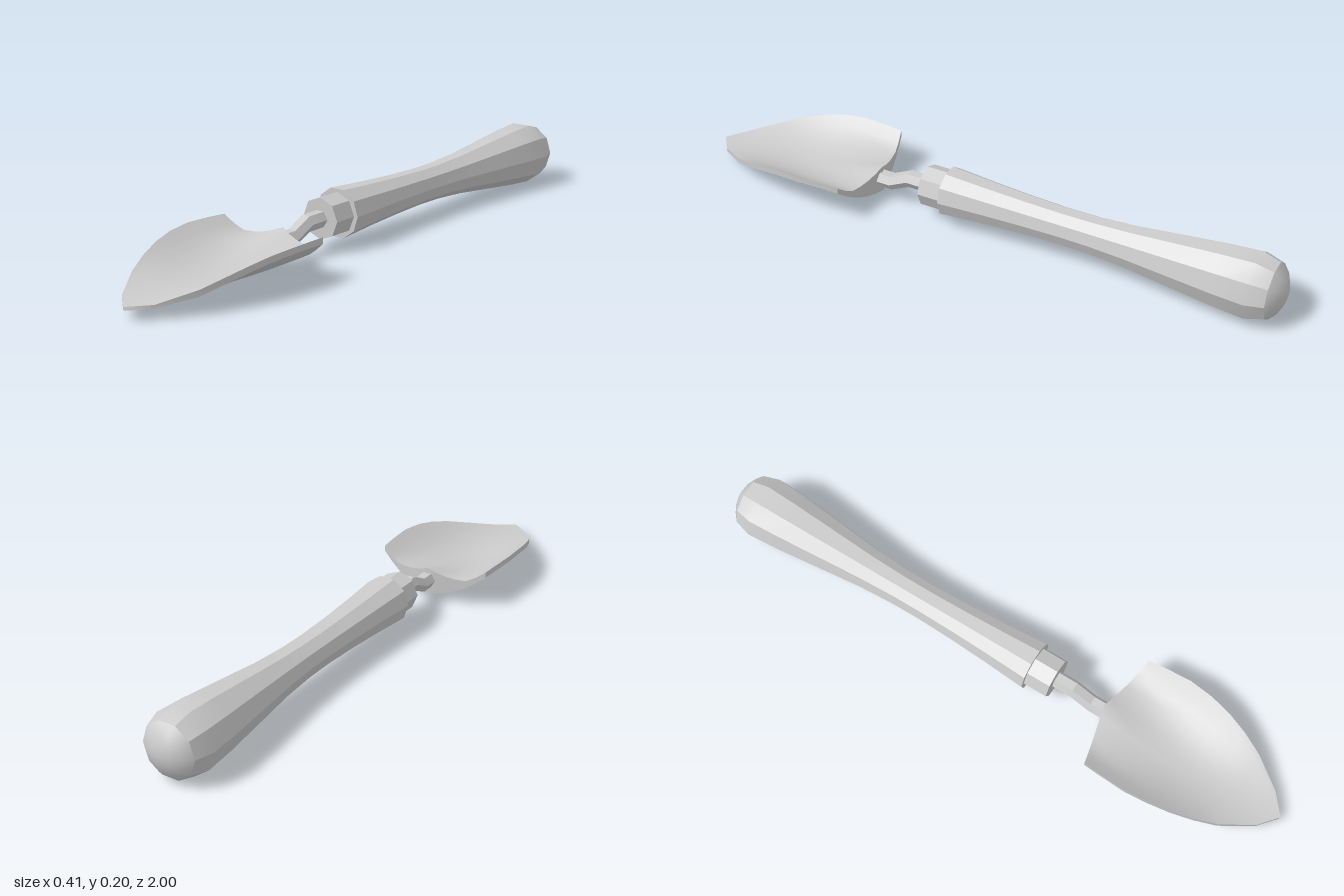
import * as THREE from 'three';
import { toCreasedNormals } from 'three/addons/utils/BufferGeometryUtils.js';

const AXIS_Y = 0.103;
const material = new THREE.MeshStandardMaterial({ color: 0xcccccc });

function part(name, geometry, crease) {
  const mesh = new THREE.Mesh(toCreasedNormals(geometry, crease), material);
  mesh.name = name;
  return mesh;
}

// Joins cross-sections running toward +z (upper points left to right, then back along the underside) and caps both ends.
function loft(rings) {
  const n = rings[0].length;
  const last = (rings.length - 1) * n;
  const index = [];
  for (let r = 0; r < rings.length - 1; r++) {
    for (let i = 0; i < n; i++) {
      const a = r * n + i, c = r * n + (i + 1) % n;
      index.push(a, a + n, c, a + n, c + n, c);
    }
  }
  for (let i = 0; i < n / 2 - 1; i++) {
    const t = i, t2 = i + 1, b = n - 1 - i, b2 = n - 2 - i;
    index.push(t, t2, b2, t, b2, b);
    index.push(last + t, last + b2, last + t2, last + t, last + b, last + b2);
  }
  const geometry = new THREE.BufferGeometry();
  geometry.setAttribute('position', new THREE.Float32BufferAttribute(rings.flat(2), 3));
  geometry.setIndex(index);
  return geometry;
}

// Turned shape along z from [radius, z] pairs, in order of rising z
function turned(profile, sides, phi) {
  const points = profile.map(([r, z]) => new THREE.Vector2(r, z));
  return new THREE.LatheGeometry(points, sides, phi, Math.PI * 2)
    .rotateX(Math.PI / 2).translate(0, AXIS_Y, 0);
}

// Scoop blade: [z, half width, edge top, centre top, centre bottom, hump height]
function bladeGeometry() {
  const stations = [
    [0.415, 0.195, 0.131, 0.05, 0.025, 0.065],
    [0.48, 0.2, 0.134, 0.049, 0.025, 0.038],
    [0.56, 0.204, 0.135, 0.047, 0.025, 0.014],
    [0.64, 0.196, 0.129, 0.047, 0.027, 0.003],
    [0.71, 0.182, 0.116, 0.048, 0.031, 0],
    [0.78, 0.16, 0.097, 0.049, 0.035, 0],
    [0.85, 0.13, 0.074, 0.049, 0.036, 0],
    [0.95, 0.063, 0.045, 0.042, 0.031, 0],
    [1.0, 0.003, 0.04, 0.04, 0.03, 0],
  ];
  const steps = 12;
  return loft(stations.map(([z, w, edge, top, bottom, hump], row) => {
    const upper = [], lower = [];
    for (let i = 0; i <= steps; i++) {
      const u = (i / steps) * 2 - 1;
      // the rear edge comes to a shallow point at the tang
      const back = Math.max(0, 1 - row / 3) * 0.045 * (1 - Math.abs(u));
      const rise = hump * Math.max(0, 1 - Math.abs(u) / 0.7);
      const edgeBottom = edge - (row < 7 ? 0.019 : 0.011);
      upper.push([w * u, top + (edge - top) * u * u + rise, z - back]);
      lower.unshift([w * u, bottom + (edgeBottom - bottom) * u * u, z - back]);
    }
    return [...upper, ...lower];
  }));
}

// Cranked hexagonal tang: [z, centre height]
function tangGeometry() {
  const path = [[0.18, AXIS_Y], [0.265, AXIS_Y], [0.33, 0.072], [0.4, 0.072]];
  return loft(path.map(([z, y]) => Array.from({ length: 6 }, (_, i) => {
    const a = Math.PI - (i * Math.PI) / 3;
    return [0.028 * Math.cos(a), y + 0.028 * Math.sin(a), z];
  })));
}

export function createModel() {
  const group = new THREE.Group();
  group.name = 'gardenTrowel';

  // Ten-sided waisted grip with a domed butt
  const handle = [
    [0, -1], [0.035, -0.993], [0.066, -0.979], [0.09, -0.958], [0.107, -0.9],
    [0.1, -0.8], [0.083, -0.64], [0.068, -0.5], [0.061, -0.38], [0.06, -0.28],
    [0.064, -0.15], [0.071, -0.02], [0.081, 0.12], [0, 0.12],
  ];
  group.add(part('handle', turned(handle, 10, Math.PI / 10), 0.5));

  // Eight-sided collar
  const ferrule = [[0, 0.1], [0.067, 0.1], [0.067, 0.2], [0, 0.2]];
  group.add(part('ferrule', turned(ferrule, 8, 0), 0.5));

  group.add(part('tang', tangGeometry(), 0.3));
  group.add(part('blade', bladeGeometry(), 0.7));
  return group;
}
